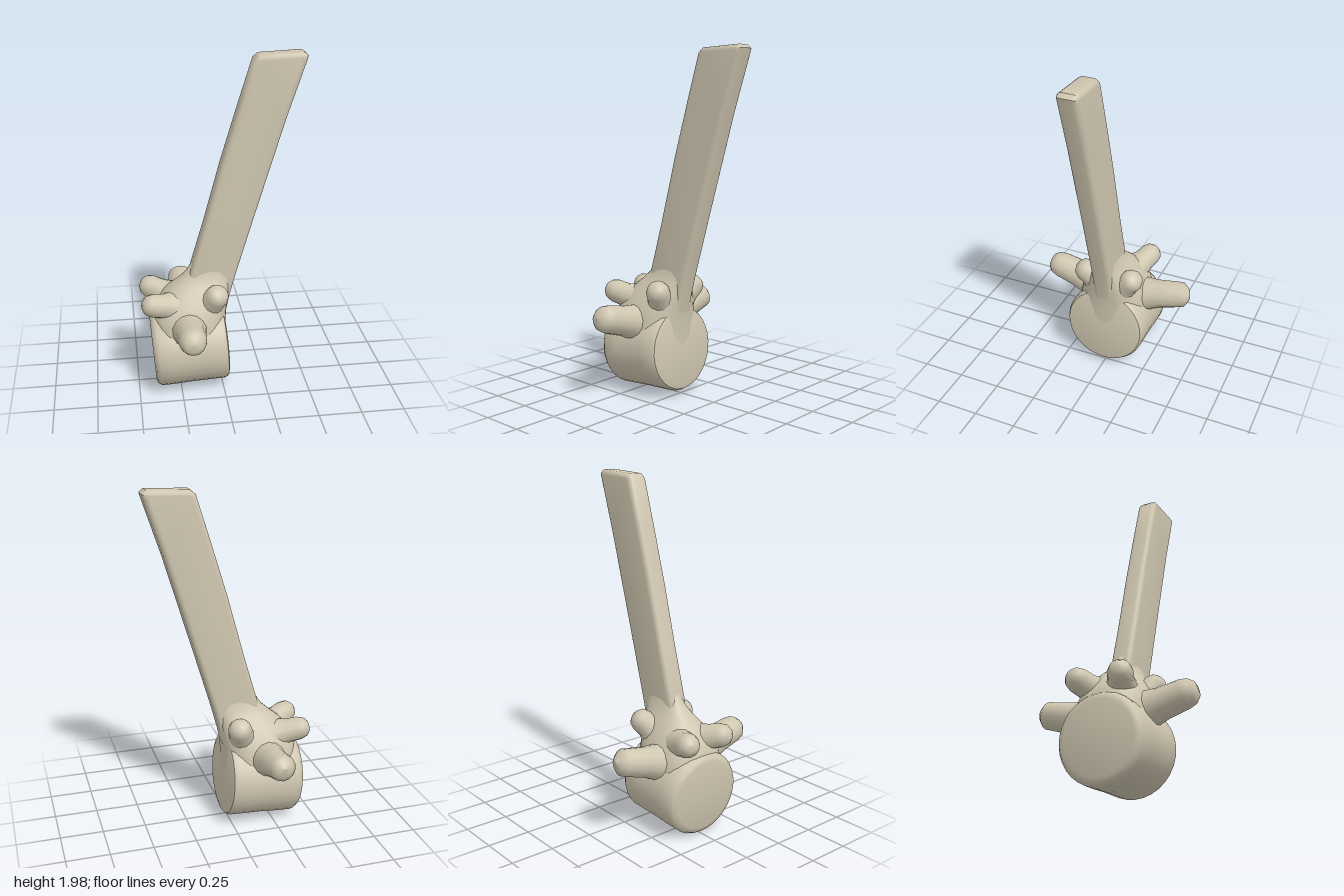
import * as THREE from 'three';
import { toCreasedNormals } from 'three/addons/utils/BufferGeometryUtils.js';

const bone = new THREE.MeshStandardMaterial({ color: 0xcfc6b0 });
bone.name = 'bone';

function part(name, geometry) {
  const mesh = new THREE.Mesh(geometry, bone);
  mesh.name = name;
  return mesh;
}

// Round prong running from one point to another; profile is [radius, fraction of length].
function prong(name, from, to, profile, sides = 14) {
  const a = new THREE.Vector3(...from);
  const dir = new THREE.Vector3(...to).sub(a);
  const length = dir.length();
  const points = profile.map(([r, t]) => new THREE.Vector2(r, t * length));
  const mesh = part(name, new THREE.LatheGeometry(points, sides));
  mesh.position.copy(a);
  mesh.quaternion.setFromUnitVectors(new THREE.Vector3(0, 1, 0), dir.normalize());
  return mesh;
}

// Stack of rounded sections, each [y, xMin, xMax, zHalfWidth].
function loft(sections, sides = 32) {
  const positions = [], index = [];
  const soft = (v) => Math.sign(v) * Math.abs(v) ** 0.8;
  sections.forEach(([y, x0, x1, w], i) => {
    for (let j = 0; j < sides; j++) {
      const t = (j / sides) * Math.PI * 2;
      positions.push((x0 + x1) / 2 + soft(Math.cos(t)) * (x1 - x0) / 2, y, 0.004 + soft(Math.sin(t)) * w);
      if (i === sections.length - 1) continue;
      const a = i * sides + j, b = i * sides + (j + 1) % sides;
      index.push(a, a + sides, b, b, a + sides, b + sides);
    }
  });
  const g = new THREE.BufferGeometry();
  g.setAttribute('position', new THREE.Float32BufferAttribute(positions, 3));
  g.setIndex(index);
  g.computeVertexNormals();
  return g;
}

export function createModel() {
  const model = new THREE.Group();
  model.name = 'vertebra';

  // Drum-shaped body, lying along x with a slight tilt
  const drum = [[0, -0.216], [0.2, -0.218], [0.228, -0.21], [0.244, -0.185], [0.245, -0.1], [0.243, 0],
    [0.245, 0.1], [0.246, 0.19], [0.235, 0.21], [0.21, 0.218], [0, 0.216]];
  const body = part('vertebralBody', toCreasedNormals(
    new THREE.LatheGeometry(drum.map(([r, y]) => new THREE.Vector2(r, y)), 32), 0.75));
  body.position.set(-0.194, 0.272, 0.004);
  body.rotation.z = -Math.PI / 2 + 0.07;
  model.add(body);

  // Arch that narrows from the body into the spine
  model.add(part('neuralArch', loft([
    [0.3, -0.41, 0.02, 0.22], [0.42, -0.415, 0.022, 0.215], [0.5, -0.405, 0.028, 0.195],
    [0.56, -0.375, 0.038, 0.165], [0.62, -0.33, 0.046, 0.13], [0.67, -0.27, 0.055, 0.095],
    [0.72, -0.215, 0.07, 0.068], [0.78, -0.175, 0.085, 0.054], [0.86, -0.14, 0.1, 0.04],
  ])));

  // Long flat spine, leaning toward +x
  const outline = [[-0.2, 0.5], [0.03, 0.5], [0.045, 0.58], [0.085, 0.73], [0.19, 1.09], [0.3, 1.46],
    [0.35, 1.63], [0.455, 1.95], [0.464, 1.98], [0.44, 2], [0.2, 1.99], [0.172, 1.965],
    [0.09, 1.7], [0, 1.4], [-0.1, 1.03], [-0.185, 0.74]];
  const bevel = 0.028;
  const blade = new THREE.ExtrudeGeometry(
    new THREE.Shape(outline.map(([x, y]) => new THREE.Vector2(x, y))),
    { depth: 0.12 - 2 * bevel, bevelThickness: bevel, bevelSize: bevel, bevelOffset: -bevel, bevelSegments: 4 });
  blade.translate(0, 0, -0.055 + bevel);
  model.add(part('neuralSpine', toCreasedNormals(blade, 0.7)));

  // Paired prongs on both sides
  const knob = [[0.105, 0], [0.085, 0.3], [0.07, 0.5], [0.068, 0.75], [0.055, 0.9], [0.03, 0.98], [0, 1]];
  for (const [side, s] of [['front', 1], ['back', -1]]) {
    const shaft = s > 0
      ? [[0.125, 0], [0.1, 0.3], [0.086, 0.5], [0.08, 0.8], [0.07, 0.91], [0.045, 0.98], [0, 1]]
      : [[0.125, 0], [0.1, 0.3], [0.086, 0.5], [0.076, 0.88], [0.045, 0.955], [0, 1]];
    model.add(prong(side + 'TransverseProng',
      [-0.205, 0.415, s * 0.08], [-0.205, 0.512, s * 0.463], shaft));
    model.add(prong(side + 'RightArticularKnob',
      [-0.24, 0.53, s * 0.05], [-0.464, 0.605, s * 0.148], knob));
    model.add(prong(side + 'LeftArticularKnob',
      [-0.09, 0.52, s * 0.05], [-0.022, 0.675, s * 0.185], knob));
  }
  return model;
}
